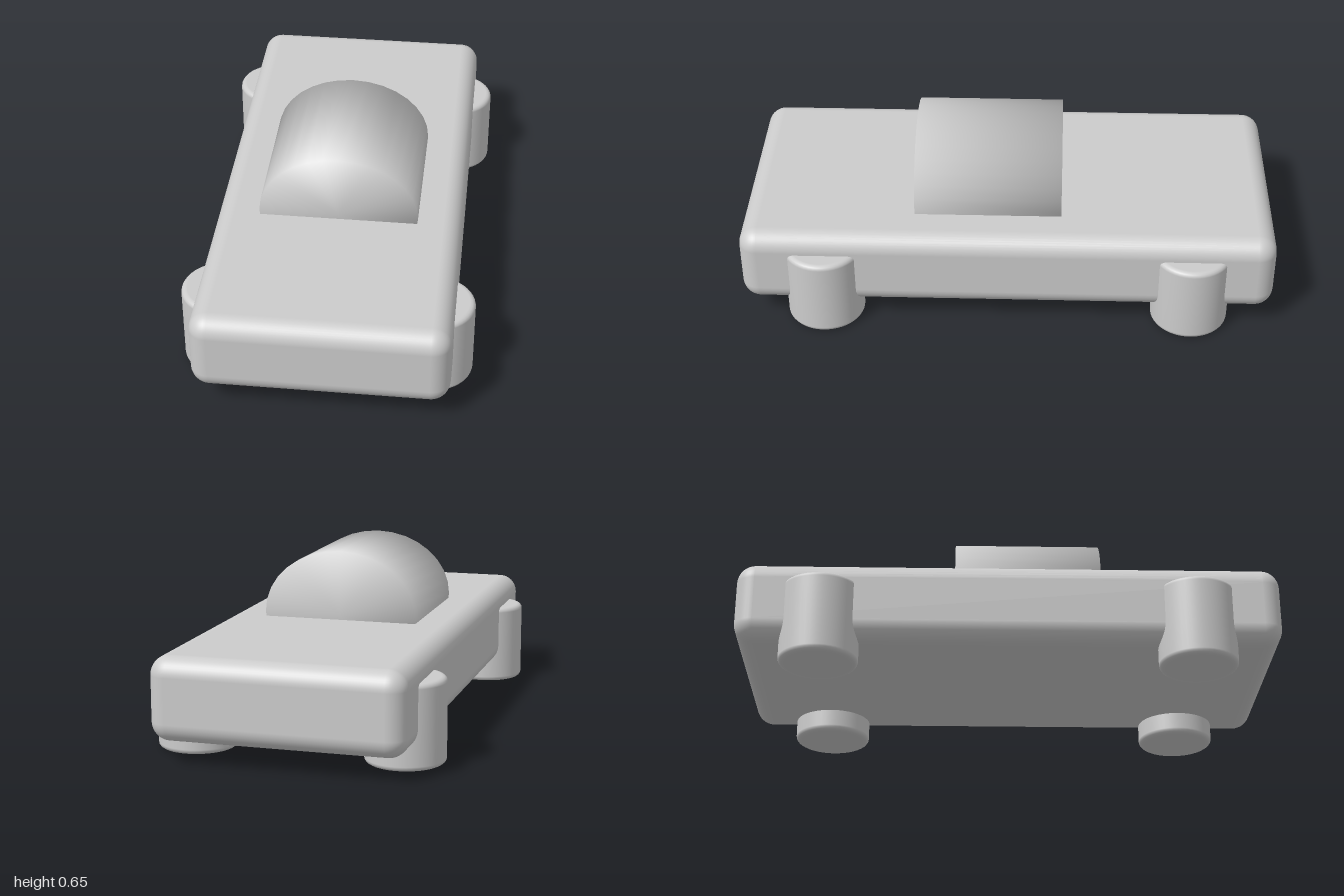
import * as THREE from 'three';
import { mergeVertices } from 'three/addons/utils/BufferGeometryUtils.js';
import { RoundedBoxGeometry } from 'three/addons/geometries/RoundedBoxGeometry.js';

// Elliptical cylinder along z whose rims are shaded smoothly into the end caps
function softCylinder(rx, ry, length, sides) {
  let geo = new THREE.CylinderGeometry(1, 1, length, sides);
  geo.rotateX(Math.PI / 2).scale(rx, ry, 1);
  geo.deleteAttribute('normal');
  geo.deleteAttribute('uv');
  geo = mergeVertices(geo, 1e-4);
  const p = geo.attributes.position;
  const normals = new Float32Array(p.count * 3);
  const n = new THREE.Vector3();
  for (let i = 0; i < p.count; i++) {
    n.set(p.getX(i) / (rx * rx), p.getY(i) / (ry * ry), 0);
    if (n.length() > 0.01) n.normalize();
    n.z = Math.sign(p.getZ(i));
    n.normalize().toArray(normals, i * 3);
  }
  geo.setAttribute('normal', new THREE.BufferAttribute(normals, 3));
  return geo;
}

// Upright cylinder with small rounded rims
function roundedPost(radius, height, bevel) {
  const pts = [new THREE.Vector2(0, 0), new THREE.Vector2(radius - bevel - 0.003, 0)];
  for (const [cy, start] of [[bevel, -Math.PI / 2], [height - bevel, 0]]) {
    for (let i = 0; i <= 4; i++) {
      const a = start + (i / 4) * (Math.PI / 2);
      pts.push(new THREE.Vector2(radius - bevel + bevel * Math.cos(a), cy + bevel * Math.sin(a)));
    }
  }
  pts.push(new THREE.Vector2(radius - bevel - 0.003, height), new THREE.Vector2(0, height));
  return new THREE.LatheGeometry(pts, 48);
}

export function createModel() {
  const model = new THREE.Group();
  model.name = 'car';
  const grey = new THREE.MeshStandardMaterial({ color: 0xcccccc });
  grey.name = 'light grey';

  const add = (name, geo, x, y, z) => {
    const mesh = new THREE.Mesh(geo, grey);
    mesh.name = name;
    mesh.position.set(x, y, z);
    model.add(mesh);
  };

  // Body slab
  add('body', new RoundedBoxGeometry(0.92, 0.305, 2, 5, 0.07), 0, 0.2325, 0);

  // Cabin, sunk into the body
  add('cabin', softCylinder(0.296, 0.243, 0.55, 32), 0, 0.405, 0.075);

  // Four upright wheel posts
  const post = roundedPost(0.145, 0.308, 0.018);
  for (const [end, z] of [['front', 0.69], ['rear', -0.69]]) {
    add(end + 'LeftWheel', post, 0.385, 0, z);
    add(end + 'RightWheel', post, -0.385, 0, z);
  }
  return model;
}
